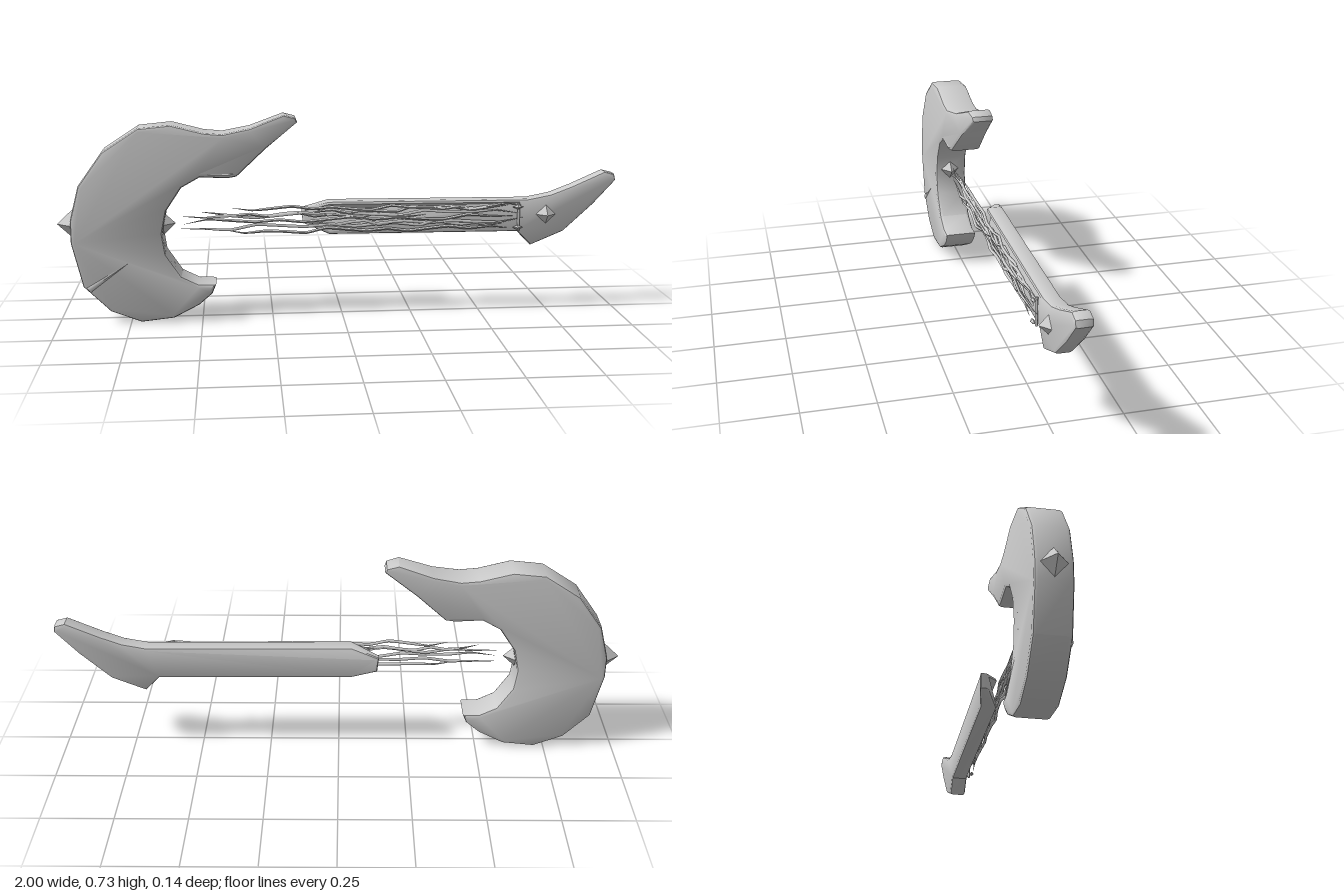
import * as THREE from 'three';
import { toCreasedNormals } from 'three/addons/utils/BufferGeometryUtils.js';

const steel = new THREE.MeshStandardMaterial({ color: 0xcccccc });
steel.name = 'grey steel';

function add(group, name, geometry) {
  const mesh = new THREE.Mesh(geometry, steel);
  mesh.name = name;
  group.add(mesh);
  return mesh;
}

// Bevelled slab from an outline, between z0 and z1; bend(v) may move each corner
function slab(points, z0, z1, bevel, bend) {
  const shape = new THREE.Shape(points.map(([x, y]) => new THREE.Vector2(x, y)));
  const g = new THREE.ExtrudeGeometry(shape, {
    depth: z1 - z0 - 2 * bevel, bevelEnabled: true, bevelSize: bevel,
    bevelThickness: bevel, bevelOffset: -bevel, bevelSegments: 2, curveSegments: 1,
  });
  g.translate(0, 0, z0 + bevel);
  const p = g.attributes.position;
  const v = new THREE.Vector3();
  for (let i = 0; i < p.count; i++) {
    v.fromBufferAttribute(p, i);
    bend(v);
    p.setXYZ(i, v.x, v.y, v.z);
  }
  return toCreasedNormals(g, 0.62);
}

function stud(group, name, [x, y, z], [sx, sy, sz]) {
  const mesh = add(group, name, new THREE.OctahedronGeometry(1).scale(sx, sy, sz));
  mesh.position.set(x, y, z);
}

// Jagged, tapering strand running along x
function strand(x0, y0, x1, y1, seed) {
  const n = 14, path = [];
  for (let i = 0; i <= n; i++) {
    const t = i / n;
    const wobble = 0.006 * Math.sin(i * 2.3 + seed * 1.7) + 0.004 * Math.sin(i * 1.1 + seed * 4.1);
    path.push(new THREE.Vector3(
      x0 + (x1 - x0) * t,
      y0 + (y1 - y0) * t + wobble,
      0.018 + 0.005 * Math.sin(i * 1.9 + seed * 2.6)));
  }
  const curve = new THREE.CatmullRomCurve3(path, false, 'catmullrom', 0.2);
  const rings = 42, sides = 5;
  const g = new THREE.TubeGeometry(curve, rings, 0.0055, sides);
  const p = g.attributes.position;
  const c = new THREE.Vector3(), v = new THREE.Vector3();
  for (let i = 0; i <= rings; i++) {
    const t = i / rings;
    curve.getPointAt(t, c);
    const s = Math.min(1, 0.08 + 7 * t, 0.08 + 7 * (1 - t));
    for (let j = 0; j <= sides; j++) {
      const k = i * (sides + 1) + j;
      v.fromBufferAttribute(p, k).sub(c).multiplyScalar(s).add(c);
      p.setXYZ(k, v.x, v.y, v.z);
    }
  }
  g.computeVertexNormals();
  return g;
}

export function createModel() {
  const model = new THREE.Group();
  model.name = 'hookedBlade';

  // Crescent head with a horn that thins towards its tip
  const crescent = [
    [-0.158, 0.7], [-0.27, 0.61], [-0.372, 0.517], [-0.404, 0.512], [-0.5, 0.517],
    [-0.564, 0.481], [-0.618, 0.4], [-0.634, 0.32], [-0.623, 0.246], [-0.57, 0.166],
    [-0.51, 0.136], [-0.45, 0.134], [-0.464, 0.1], [-0.51, 0.06], [-0.6, 0.014],
    [-0.714, 0.002], [-0.82, 0.043], [-0.912, 0.134], [-0.949, 0.29], [-0.949, 0.37],
    [-0.917, 0.492], [-0.832, 0.61], [-0.709, 0.69], [-0.596, 0.701], [-0.484, 0.672],
    [-0.42, 0.666], [-0.324, 0.684], [-0.206, 0.727], [-0.164, 0.716],
  ].reverse();
  add(model, 'crescentHead', slab(crescent, -0.05, 0.07, 0.012, (v) => {
    const t = (v.x + 0.41) / 0.25;
    if (t > 0 && v.y > 0.45) v.z -= 0.043 * t * (v.z + 0.05) / 0.12;
  }));

  // Shallow crease on the front of the head
  const crease = add(model, 'crease', new THREE.ConeGeometry(0.012, 0.2, 4).scale(1, 1, 0.3));
  crease.position.set(-0.81, 0.18, 0.0695);
  crease.rotation.z = -0.98;

  // Handle with a swept pommel and a free end turned back
  const handle = [
    [-0.142, 0.38], [-0.136, 0.326], [-0.045, 0.292], [0.64, 0.289], [0.69, 0.237],
    [0.81, 0.287], [0.917, 0.385], [0.997, 0.472], [0.992, 0.495], [0.955, 0.505],
    [0.837, 0.453], [0.76, 0.424], [0.676, 0.408], [-0.045, 0.412],
  ];
  add(model, 'handle', slab(handle, -0.055, 0.004, 0.01, (v) => {
    const t = (-0.045 - v.x) / 0.095;
    if (t > 0) v.z -= t * (0.016 + 0.032 * (v.z + 0.055) / 0.06);
  }));

  // Pointed studs
  stud(model, 'outerSpike', [-0.945, 0.35, 0.01], [0.055, 0.052, 0.045]);
  stud(model, 'innerSpike', [-0.63, 0.347, 0.015], [0.042, 0.04, 0.036]);
  stud(model, 'pommelStud', [0.742, 0.352, 0.002], [0.038, 0.036, 0.034]);

  // Loose strands between head and handle
  [
    [-0.39, 0.396, 0.6, 0.385], [-0.57, 0.368, 0.64, 0.37], [-0.56, 0.35, 0.62, 0.352],
    [-0.57, 0.325, 0.66, 0.338], [-0.42, 0.312, 0.6, 0.312], [-0.15, 0.375, 0.65, 0.392],
    [-0.12, 0.34, 0.58, 0.325], [-0.5, 0.378, 0.3, 0.36],
  ].forEach((s, i) => add(model, 'strand' + (i + 1), strand(...s, i + 1)));

  // Cross tie and knots holding the strand ends
  const tie = add(model, 'strandTie', new THREE.CylinderGeometry(0.005, 0.005, 0.1, 6));
  tie.position.set(0.64, 0.345, 0.012);
  for (const y of [0.309, 0.384]) {
    stud(model, 'strandKnot', [0.635, y, 0.022], [0.02, 0.009, 0.009]);
  }
  return model;
}
